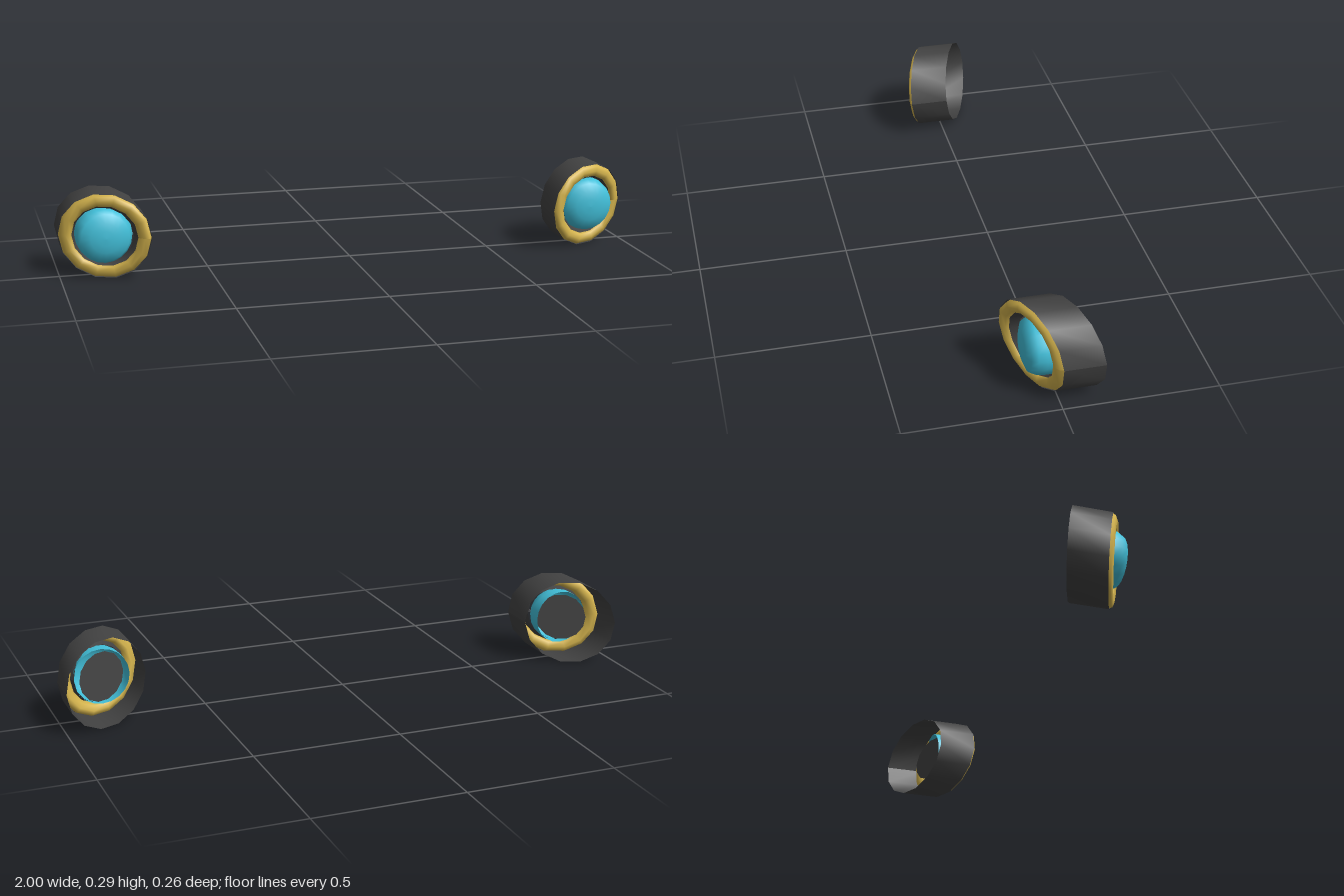
import * as THREE from 'three';

const SIDES = 14;

export function createModel() {
  const mat = (name, color) =>
    new THREE.MeshStandardMaterial({ name, color, side: THREE.DoubleSide });
  const dark = mat('darkHousing', 0x424242);
  const gold = mat('goldTrim', 0xd6b54e);
  const blue = mat('blueLens', 0x42c0da);

  const model = new THREE.Group();
  model.name = 'lampPair';

  // Slants a shape along z so that it sweeps back outwards and leans forward at the top
  const slant = (geometry, side) => {
    const p = geometry.attributes.position;
    for (let i = 0; i < p.count; i++) {
      p.setZ(i, p.getZ(i) - 0.43 * side * p.getX(i) + 0.1 * p.getY(i));
    }
    geometry.computeVertexNormals();
    return geometry;
  };

  // Open tube along z, with a corner on the x axis
  const tube = (rFront, rBack, zBack, zFront) =>
    new THREE.CylinderGeometry(rFront, rBack, zFront - zBack, SIDES, 1, true, Math.PI / 2)
      .rotateX(Math.PI / 2)
      .translate(0, 0, (zFront + zBack) / 2);

  const makeLamp = (side) => {
    const lamp = new THREE.Group();
    lamp.name = side > 0 ? 'leftLamp' : 'rightLamp';
    lamp.position.set(side * 0.852, 0.147, 0);
    const add = (name, geometry, material) => {
      const mesh = new THREE.Mesh(geometry, material);
      mesh.name = name;
      lamp.add(mesh);
    };

    // Slanted housing, open at the back
    add('housing', slant(tube(0.148, 0.148, -0.07, 0.063), side), dark);

    // Rounded trim ring on the front rim
    const ring = new THREE.TorusGeometry(0.125, 0.022, 8, SIDES).translate(0, 0, 0.055);
    add('trimRing', slant(ring, side), gold);

    // Recess between ring and lens
    add('recess', slant(tube(0.105, 0.094, 0.035, 0.062), side), dark);

    // Dark plate behind the lens
    add('backPlate', slant(new THREE.CircleGeometry(0.083, SIDES), side), dark);

    // Domed lens, facing straight ahead
    const profile = [[0.095, 0], [0.095, 0.035], [0.091, 0.062], [0.08, 0.083],
      [0.05, 0.094], [0.025, 0.099], [0.0001, 0.1]].map(([r, h]) => new THREE.Vector2(r, h));
    add('lens', new THREE.LatheGeometry(profile, 20).rotateX(Math.PI / 2), blue);
    return lamp;
  };

  for (const side of [1, -1]) model.add(makeLamp(side));
  return model;
}
